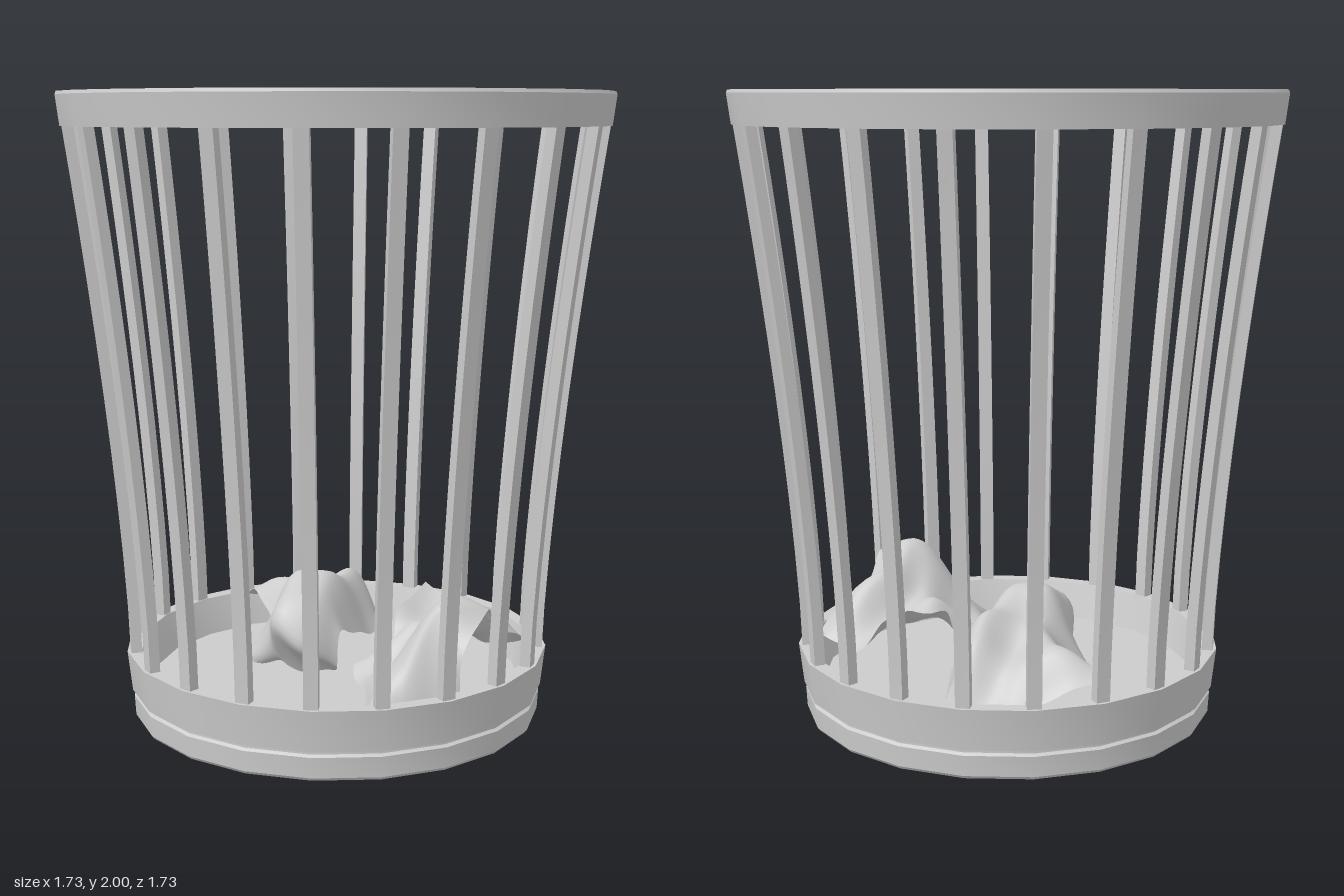
import * as THREE from 'three';
import { toCreasedNormals } from 'three/addons/utils/BufferGeometryUtils.js';

const SIDES = 20;
const grey = new THREE.MeshStandardMaterial({ color: 0xcccccc });
const paperGrey = new THREE.MeshStandardMaterial({ color: 0xcccccc, side: THREE.DoubleSide });

// Turned part with crisp profile edges and a smooth circumference
function turned(name, profile) {
  const points = profile.map(([r, y]) => new THREE.Vector2(r, y));
  const mesh = new THREE.Mesh(toCreasedNormals(new THREE.LatheGeometry(points, SIDES), 0.5), grey);
  mesh.name = name;
  return mesh;
}

// Outer radius of the basket wall at height y
const wallRadius = (y) => 0.677 + 0.175 * Math.pow(Math.max(0, (y - 0.2) / 1.7), 1.4);

// Slat: a thin bar bent along the wall curve
function slatGeometry() {
  const geometry = new THREE.BoxGeometry(0.044, 1.74, 0.034, 1, 10, 1);
  geometry.translate(0, 1.06, 0);
  const p = geometry.attributes.position;
  for (let i = 0; i < p.count; i++) p.setZ(i, p.getZ(i) + wallRadius(p.getY(i)) - 0.02);
  return toCreasedNormals(geometry, 0.5);
}

// Crumpled sheet: a smooth surface through rows of control points, with fine wrinkles
function crumpledSheet(name, rows, phase) {
  const N = 36;
  const toCurve = (pts) => new THREE.CatmullRomCurve3(pts, false, 'centripetal');
  const curves = rows.map((row) => toCurve(row.map((c) => new THREE.Vector3(...c))));
  const geometry = new THREE.PlaneGeometry(1, 1, N, N);
  const p = geometry.attributes.position;
  for (let i = 0; i <= N; i++) {
    const across = toCurve(curves.map((c) => c.getPoint(i / N)));
    for (let j = 0; j <= N; j++) {
      const v = across.getPoint(j / N);
      const fold = Math.sin(v.x * 26 + v.z * 15 + phase) * Math.sin(v.z * 21 - v.x * 9 + phase);
      p.setXYZ(j * (N + 1) + i, v.x, Math.max(0.105, v.y + 0.016 * fold), v.z);
    }
  }
  geometry.computeVertexNormals();
  const mesh = new THREE.Mesh(geometry, paperGrey);
  mesh.name = name;
  return mesh;
}

export function createModel() {
  const group = new THREE.Group();
  group.name = 'wasteBasket';

  // Foot ring, recessed underside, groove, lower band and floor in one turned shell
  group.add(turned('base', [
    [0, 0.015], [0.625, 0.015], [0.63, 0], [0.655, 0], [0.663, 0.01], [0.667, 0.075],
    [0.658, 0.082], [0.658, 0.09], [0.672, 0.094], [0.687, 0.225],
    [0.64, 0.225], [0.605, 0.105], [0, 0.1],
  ]));

  // Top rim
  group.add(turned('rim', [
    [0.82, 1.895], [0.855, 1.895], [0.867, 1.99], [0.863, 2], [0.835, 2], [0.82, 1.895],
  ]));

  // Slats around the wall
  const slats = new THREE.Group();
  slats.name = 'slats';
  const geometry = slatGeometry();
  for (let i = 0; i < SIDES; i++) {
    const slat = new THREE.Mesh(geometry, grey);
    slat.name = 'slat';
    slat.rotation.y = (i / SIDES) * Math.PI * 2;
    slats.add(slat);
  }
  group.add(slats);

  // Crumpled paper on the floor
  group.add(crumpledSheet('rightPaper', [
    [[-0.48, 0.25, -0.29], [-0.36, 0.2, -0.38], [-0.2, 0.16, -0.46], [-0.08, 0.2, -0.46], [0, 0.14, -0.4]],
    [[-0.41, 0.26, -0.23], [-0.32, 0.33, -0.27], [-0.2, 0.27, -0.32], [-0.08, 0.36, -0.33], [0.04, 0.2, -0.28]],
    [[-0.29, 0.2, -0.1], [-0.24, 0.3, -0.15], [-0.15, 0.36, -0.15], [-0.06, 0.38, -0.2], [0.04, 0.2, -0.16]],
    [[-0.32, 0.14, 0], [-0.24, 0.29, -0.03], [-0.15, 0.42, -0.02], [-0.06, 0.42, 0], [0.03, 0.25, 0.03]],
    [[-0.3, 0.11, 0.03], [-0.22, 0.2, 0.05], [-0.16, 0.28, 0.15], [-0.05, 0.25, 0.16], [0.03, 0.13, 0.06]],
    [[-0.2, 0.11, 0], [-0.16, 0.12, 0.04], [-0.12, 0.12, 0.05], [-0.04, 0.12, 0.05], [0, 0.11, 0]],
  ], 0.4));
  group.add(crumpledSheet('leftPaper', [
    [[0.2, 0.36, -0.3], [0.3, 0.3, -0.29], [0.4, 0.2, -0.28], [0.5, 0.18, -0.27], [0.57, 0.22, -0.27]],
    [[0.17, 0.3, -0.12], [0.28, 0.27, -0.14], [0.38, 0.25, -0.14], [0.48, 0.32, -0.15], [0.59, 0.25, -0.2]],
    [[0.19, 0.2, 0], [0.27, 0.32, -0.02], [0.36, 0.28, -0.02], [0.45, 0.41, 0], [0.55, 0.33, 0]],
    [[0.11, 0.18, 0.1], [0.24, 0.2, 0.1], [0.36, 0.36, 0.12], [0.46, 0.465, 0.16], [0.56, 0.41, 0.1]],
    [[0.21, 0.13, 0.24], [0.26, 0.2, 0.26], [0.34, 0.3, 0.24], [0.43, 0.4, 0.2], [0.53, 0.3, 0.24]],
    [[0.25, 0.11, 0.37], [0.31, 0.13, 0.41], [0.36, 0.15, 0.33], [0.44, 0.14, 0.26], [0.52, 0.12, 0.23]],
  ], 2.1));

  return group;
}
